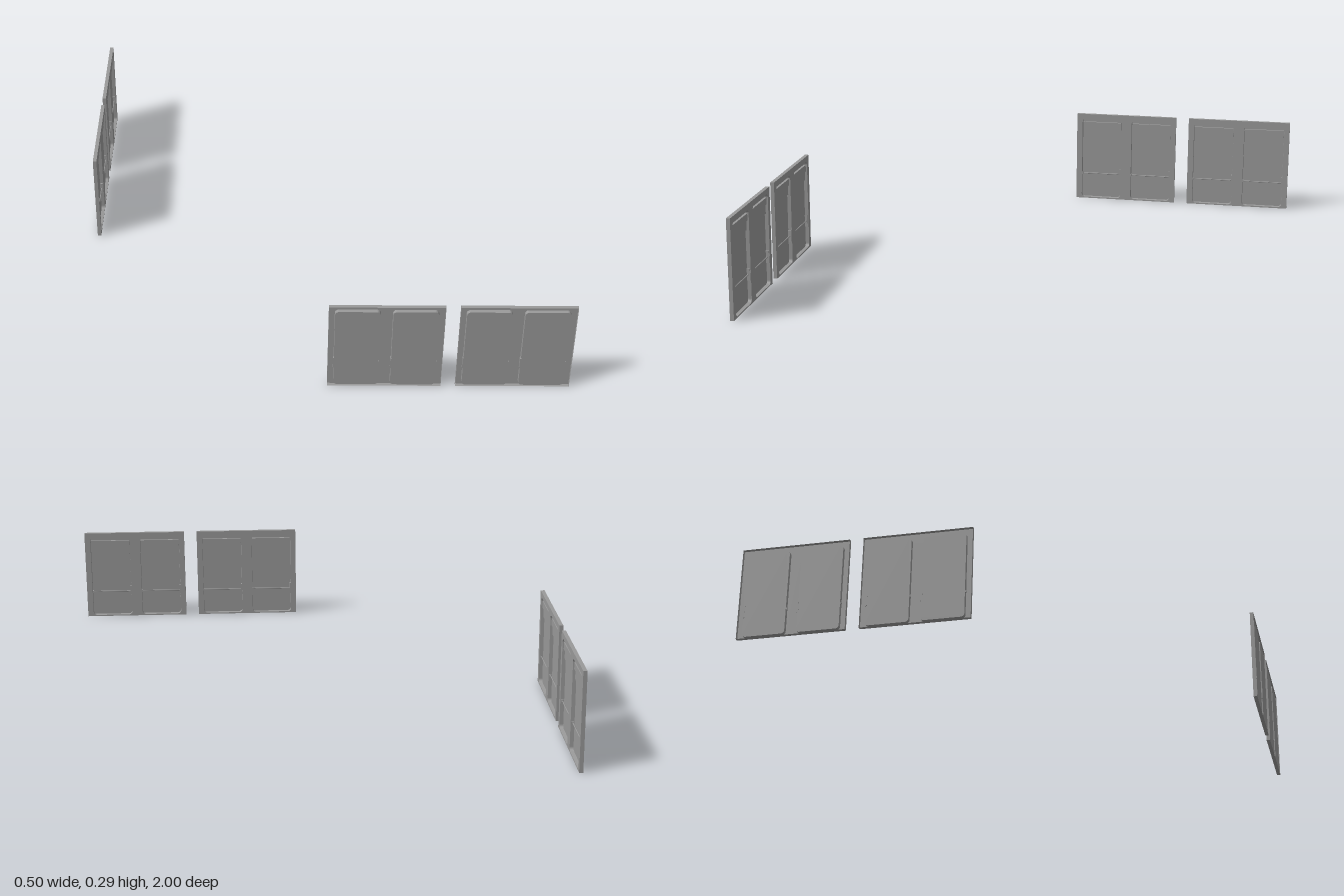
import * as THREE from 'three';

const W = 0.327, H = 0.287, DEPTH = 0.0112;      // panel size, flange depth
const BAY_W = 0.129, BAY_BOTTOM = 0.004, BAY_TOP = 0.271;
const BAY_X = [-0.082, 0.081];                   // bay centres along the panel
const mat = new THREE.MeshStandardMaterial({ color: 0x999999, side: THREE.DoubleSide });

function add(parent, name, geometry, x = 0, y = 0, z = 0) {
  const m = new THREE.Mesh(geometry, mat);
  m.name = name;
  m.position.set(x, y, z);
  parent.add(m);
  return m;
}

// Rounded rectangle outline between two corners
function roundRect(x0, y0, x1, y1, r) {
  const s = new THREE.Shape();
  s.absarc(x1 - r, y0 + r, r, -Math.PI / 2, 0);
  s.absarc(x1 - r, y1 - r, r, 0, Math.PI / 2);
  s.absarc(x0 + r, y1 - r, r, Math.PI / 2, Math.PI);
  s.absarc(x0 + r, y0 + r, r, Math.PI, Math.PI * 1.5);
  s.closePath();
  return s;
}

function bayOutline(cx, inset) {
  return roundRect(cx - BAY_W / 2 + inset, BAY_BOTTOM + inset,
    cx + BAY_W / 2 - inset, BAY_TOP - inset, 0.011 - inset);
}

// Skin between closed loops, each { pts, z }
function skin(loops) {
  const pos = [];
  for (let k = 0; k + 1 < loops.length; k++) {
    const a = loops[k], b = loops[k + 1], n = a.pts.length;
    for (let i = 0; i < n; i++) {
      const j = (i + 1) % n;
      const p = [a.pts[i], a.pts[j], b.pts[j], b.pts[i]];
      const z = [a.z, a.z, b.z, b.z];
      for (const c of [0, 1, 2, 0, 2, 3]) pos.push(p[c].x, p[c].y, z[c]);
    }
  }
  const g = new THREE.BufferGeometry();
  g.setAttribute('position', new THREE.Float32BufferAttribute(pos, 3));
  g.computeVertexNormals();
  return g;
}

// Hanging sheet with a gently waved lower edge
function valance(w, top, bottom, wave, depth) {
  const s = new THREE.Shape();
  s.moveTo(w / 2, top);
  s.lineTo(-w / 2, top);
  for (let i = 0; i <= 12; i++) {
    const t = i / 12;
    s.lineTo((t - 0.5) * w, bottom + wave * Math.sin(t * Math.PI * 2));
  }
  s.closePath();
  return new THREE.ExtrudeGeometry(s, { depth, bevelEnabled: false });
}

// Pressed bay with its fittings
function makeBay(cx) {
  const bay = new THREE.Group();
  bay.name = 'bay';
  const steps = [[0, 0], [0.0008, 0.0106]];
  add(bay, 'bayWall', skin(steps.map(([inset, z]) => ({ pts: bayOutline(cx, inset).getPoints(6), z }))));
  add(bay, 'bayFloor', new THREE.ShapeGeometry(bayOutline(cx, 0.0008), 6), 0, 0, 0.0106);
  add(bay, 'upperValance', valance(BAY_W - 0.003, 0.26, 0.24, 0.0006, 0.0035), cx, 0, 0.0035);
  add(bay, 'lowerValance', valance(BAY_W - 0.003, 0.26, 0.212, 0.0018, 0.0035), cx, 0, 0.007);
  // Cross rail, its bracket and its end stop
  add(bay, 'rail', new THREE.CylinderGeometry(0.0018, 0.0018, BAY_W, 8).rotateZ(Math.PI / 2), cx, 0.085, 0.006);
  add(bay, 'railBracket', new THREE.BoxGeometry(0.005, 0.036, 0.0095), cx - BAY_W / 2 + 0.001, 0.085, 0.0065);
  add(bay, 'railStop', new THREE.BoxGeometry(0.005, 0.007, 0.006), cx + BAY_W / 2 - 0.001, 0.085, 0.005);
  return bay;
}

// One wall panel: inner sheet, folded rim, two bays
function makePanel() {
  const panel = new THREE.Group();
  const sheet = new THREE.Shape([
    [-W / 2, 0], [W / 2, 0], [W / 2, H], [-W / 2, H],
  ].map(([x, y]) => new THREE.Vector2(x, y)));
  const rim = sheet.getPoints().slice(0, 4);
  for (const cx of BAY_X) sheet.holes.push(bayOutline(cx, 0));
  add(panel, 'faceSheet', new THREE.ShapeGeometry(sheet, 6));
  add(panel, 'rim', skin([{ pts: rim, z: 0 }, { pts: rim, z: DEPTH }]));
  for (const cx of BAY_X) panel.add(makeBay(cx));
  return panel;
}

export function createModel() {
  const model = new THREE.Group();
  model.name = 'wallPanels';
  // Two diagonal pairs, front and back
  for (const side of [1, -1]) {
    for (const [x, z] of [[-0.1265, 0.6162], [0.1345, 0.8765]]) {
      const p = makePanel();
      p.name = side > 0 ? 'frontPanel' : 'backPanel';
      p.position.set(x, 0, z * side);
      p.rotation.y = side > 0 ? -Math.PI / 4 : -Math.PI * 0.75;
      model.add(p);
    }
  }
  return model;
}
